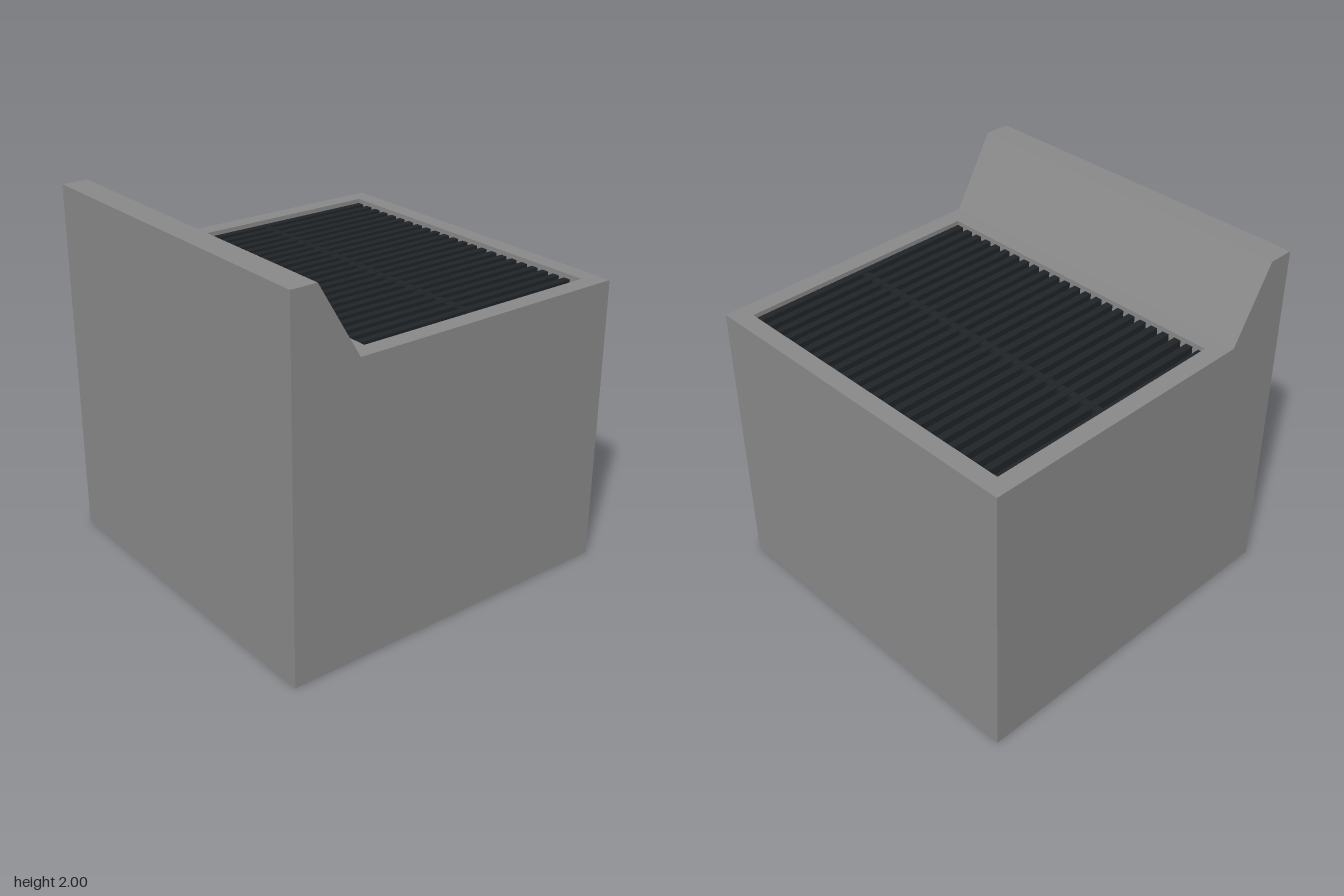
import * as THREE from 'three';

const DECK = 1.6, FLOOR = 1.52, BAR_TOP = 1.575, BAR = 0.04;
const X = 0.9, Z0 = -0.9, Z1 = 0.52; // grate recess

const grey = new THREE.MeshStandardMaterial({ color: 0x888888 });
const greyInside = new THREE.MeshStandardMaterial({ color: 0x888888, side: THREE.BackSide });
const dark = new THREE.MeshStandardMaterial({ color: 0x202427 });

// Removes the horizontal triangles lying at height y
function openAt(geometry, y) {
  const g = geometry.index ? geometry.toNonIndexed() : geometry;
  const p = g.attributes.position, kept = [];
  for (let i = 0; i < p.count; i += 3) {
    if ([0, 1, 2].every(k => Math.abs(p.getY(i + k) - y) < 1e-4)) continue;
    for (let k = 0; k < 3; k++) kept.push(p.getX(i + k), p.getY(i + k), p.getZ(i + k));
  }
  const out = new THREE.BufferGeometry();
  out.setAttribute('position', new THREE.Float32BufferAttribute(kept, 3));
  out.computeVertexNormals();
  return out;
}

const shapeOf = pts => new THREE.Shape(pts.map(([x, y]) => new THREE.Vector2(x, y)));

export function createModel() {
  const model = new THREE.Group();
  const add = (name, geometry, material, parent = model) => {
    const mesh = new THREE.Mesh(geometry, material);
    mesh.name = name;
    parent.add(mesh);
    return mesh;
  };

  // Cabinet with the raised, sloping front lip: side profile drawn in (-z, y)
  const profile = shapeOf([[-1, 0], [1, 0], [1, DECK], [-0.62, DECK], [-0.855, 2], [-1, 2]]);
  const body = new THREE.ExtrudeGeometry(profile, { depth: 2, bevelEnabled: false });
  body.translate(0, 0, -1).rotateY(Math.PI / 2);
  add('cabinet', openAt(body, DECK), grey);

  // Deck around the grate opening
  const deck = shapeOf([[-1, -0.62], [1, -0.62], [1, 1], [-1, 1]]);
  deck.holes.push(shapeOf([[-X, -Z1], [-X, -Z0], [X, -Z0], [X, -Z1]]));
  add('deck', new THREE.ShapeGeometry(deck).rotateX(-Math.PI / 2).translate(0, DECK, 0), grey);

  // Recess walls and floor
  const length = Z1 - Z0, midZ = (Z0 + Z1) / 2;
  const well = new THREE.BoxGeometry(2 * X, DECK - FLOOR, length);
  well.translate(0, (DECK + FLOOR) / 2, midZ);
  add('recess', openAt(well, DECK), greyInside);

  // Grate: lengthwise bars joined by one cross bar
  const grate = new THREE.Group();
  grate.name = 'grate';
  model.add(grate);
  const height = BAR_TOP - FLOOR, y = (BAR_TOP + FLOOR) / 2, count = 24;
  const barGeometry = new THREE.BoxGeometry(BAR, height, length);
  const step = (2 * X - BAR) / (count - 1);
  for (let i = 0; i < count; i++) {
    add('grateBar', barGeometry, dark, grate).position.set(-X + BAR / 2 + i * step, y, midZ);
  }
  add('crossBar', new THREE.BoxGeometry(2 * X - BAR, height - 0.004, BAR), dark, grate)
    .position.set(0, y - 0.002, -0.195);

  return model;
}
